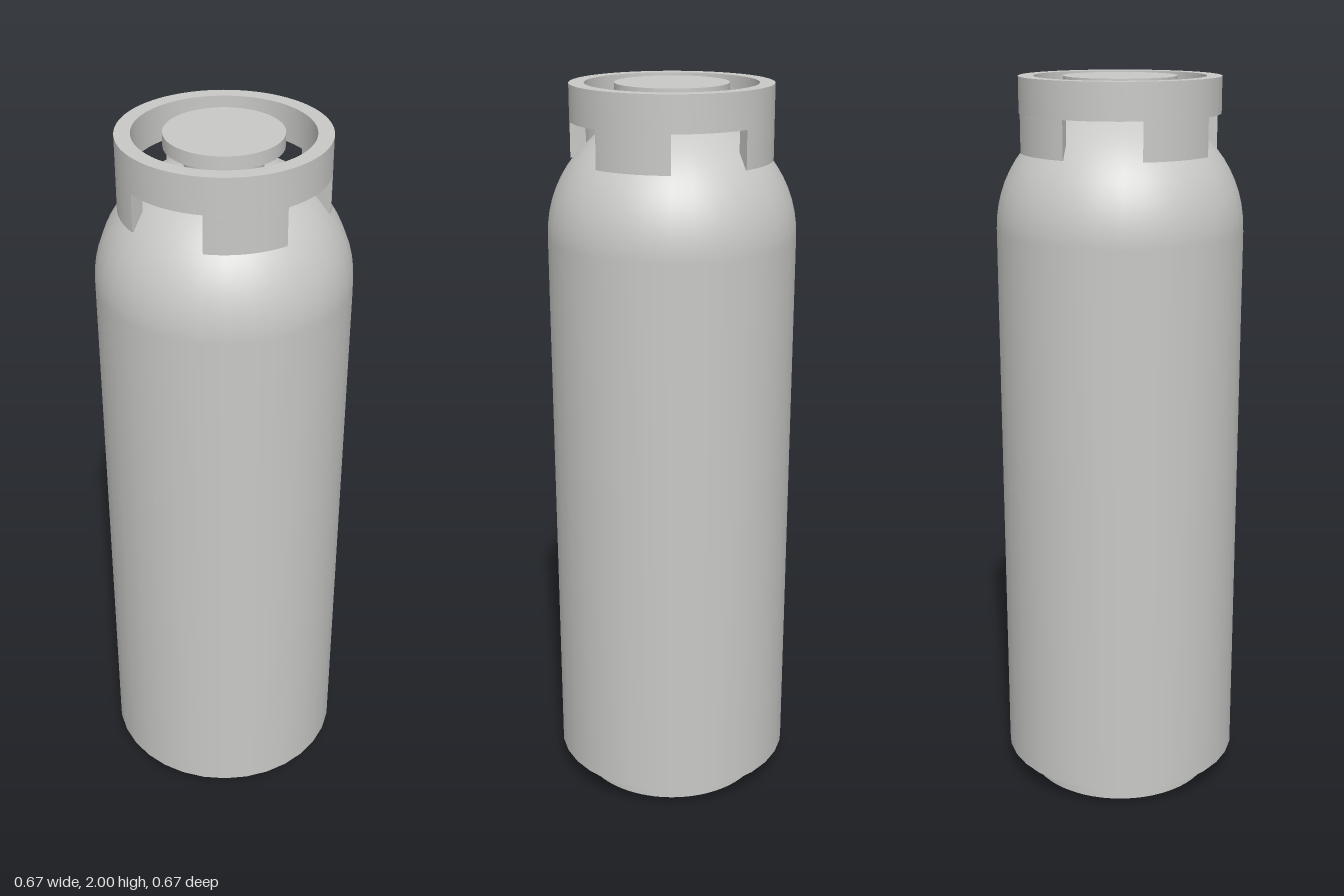
import * as THREE from 'three';
import { toCreasedNormals } from 'three/addons/utils/BufferGeometryUtils.js';

const BODY_R = 0.333, BASE_Y = 0.067, SHOULDER_Y = 1.6;
const RING_OUT = 0.267, RING_IN = 0.227;
const WINDOW = 0.102; // half width of the collar windows

export function createModel() {
  const model = new THREE.Group();
  const paint = new THREE.MeshStandardMaterial({ color: 0xc8c8c6 });
  paint.name = 'greyPaint';

  function add(name, geometry, y, parent = model) {
    const mesh = new THREE.Mesh(geometry, paint);
    mesh.name = name;
    mesh.position.y = y;
    parent.add(mesh);
    return mesh;
  }

  // Extrudes a plan outline upwards, smooth around its curves
  function extrudeUp(shape, height) {
    const g = new THREE.ExtrudeGeometry(shape, { depth: height, bevelEnabled: false, curveSegments: 48 });
    g.rotateX(-Math.PI / 2);
    return toCreasedNormals(g, 0.6);
  }

  function ringShape() {
    const s = new THREE.Shape().absarc(0, 0, RING_OUT, 0, Math.PI * 2, false);
    s.holes.push(new THREE.Path().absarc(0, 0, RING_IN, 0, Math.PI * 2, true));
    return s;
  }

  // Tank wall with flat base, and its domed shoulder
  const wallH = SHOULDER_Y - BASE_Y;
  add('tankBody', new THREE.CylinderGeometry(BODY_R, BODY_R, wallH, 32), BASE_Y + wallH / 2);
  add('tankDome', new THREE.SphereGeometry(BODY_R, 32, 16, 0, Math.PI * 2, 0, Math.PI / 2), SHOULDER_Y);

  // Foot ring
  add('footRing', extrudeUp(ringShape(), BASE_Y), 0);

  // Collar: a full ring on four legs, with square-cut windows between them
  const collar = new THREE.Group();
  collar.name = 'collar';
  model.add(collar);
  add('collarRing', extrudeUp(ringShape(), 0.095), 1.905, collar);

  const aOut = Math.asin(WINDOW / RING_OUT), aIn = Math.asin(WINDOW / RING_IN);
  const leg = new THREE.Shape();
  leg.absarc(0, 0, RING_OUT, aOut, Math.PI / 2 - aOut, false);
  leg.absarc(0, 0, RING_IN, Math.PI / 2 - aIn, aIn, true);
  leg.closePath();
  const legGeometry = extrudeUp(leg, 0.1);
  for (let i = 0; i < 4; i++) {
    add('collarLeg', legGeometry, 1.805, collar).rotation.y = i * Math.PI / 2;
  }

  // Valve: neck and hand wheel
  add('valveNeck', new THREE.CylinderGeometry(0.1, 0.1, 0.08, 32), 1.93);
  add('valveWheel', new THREE.CylinderGeometry(0.15, 0.15, 0.035, 48), 1.9825);

  return model;
}
